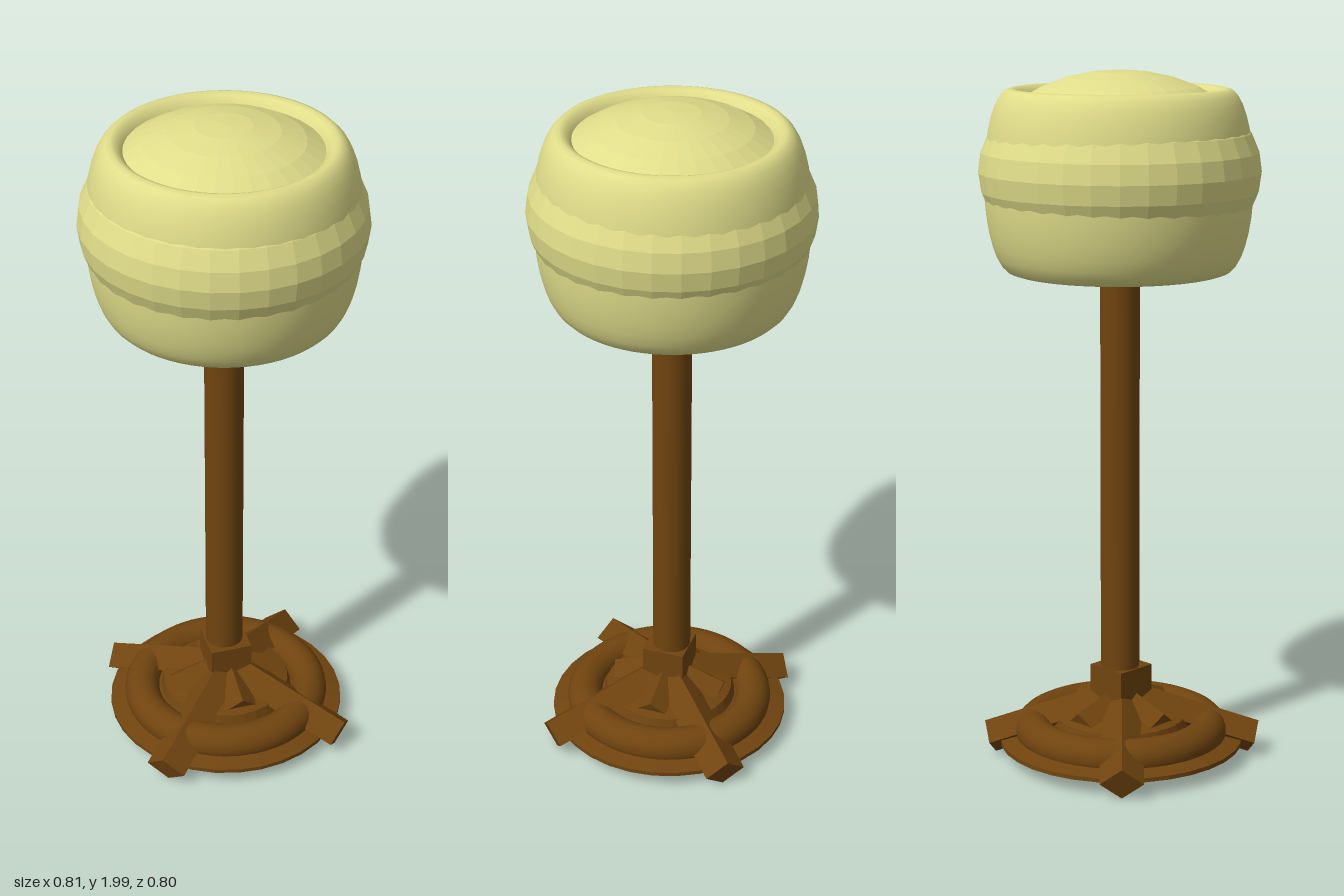
import * as THREE from 'three';

const AXIS_X = -0.011; // the pole and shade sit slightly off the feet's centre

export function createModel() {
  const cream = new THREE.MeshStandardMaterial({ color: 0xe0dd8a });
  cream.name = 'creamShade';
  const creamFaceted = cream.clone();
  creamFaceted.name = 'creamShadeFaceted';
  creamFaceted.flatShading = true;
  const wood = new THREE.MeshStandardMaterial({ color: 0x70440f });
  wood.name = 'brownWood';
  const woodFaceted = wood.clone();
  woodFaceted.name = 'brownWoodFaceted';
  woodFaceted.flatShading = true;

  const model = new THREE.Group();
  model.name = 'lamp';
  const add = (name, geometry, material, x = 0, y = 0, z = 0) => {
    const mesh = new THREE.Mesh(geometry, material);
    mesh.name = name;
    mesh.position.set(x, y, z);
    model.add(mesh);
    return mesh;
  };

  // Shade: a tall rounded ring around a faceted, flattened globe
  const ring = new THREE.TorusGeometry(0.3, 0.076, 32, 64).rotateX(Math.PI / 2);
  add('shadeRing', ring.scale(1, 0.255 / 0.076, 1), cream, AXIS_X, 1.695, -0.003);
  const globe = new THREE.SphereGeometry(1, 32, 16).scale(0.395, 0.28, 0.395);
  add('shadeGlobe', globe, creamFaceted, AXIS_X, 1.72, 0);

  // Pole and the square collar at its foot
  add('pole', new THREE.CylinderGeometry(0.056, 0.056, 1.4, 32), wood, AXIS_X, 0.8, 0);
  const collar = new THREE.BoxGeometry(0.126, 0.16, 0.126).rotateY(Math.PI / 4);
  add('collar', collar, woodFaceted, -0.005, 0.2, 0.003);

  // Base: a stepped conical disc with a rounded moulding
  const discProfile = [[0, 0.05], [0.355, 0.05], [0.355, 0.062], [0.2, 0.1], [0.19, 0.13], [0, 0.185]]
    .map(([r, y]) => new THREE.Vector2(r, y));
  add('baseDisc', new THREE.LatheGeometry(discProfile, 32), woodFaceted, -0.004, 0, 0.003);
  const moulding = new THREE.TorusGeometry(0.257, 0.053, 20, 64).rotateX(Math.PI / 2);
  add('baseMoulding', moulding, wood, -0.004, 0.088, 0.003);

  // Diamond-section bar sloping down along +x, ending at (reach, endY)
  const bar = (reach, endY, length) => new THREE.CylinderGeometry(1, 1, 1, 4)
    .scale(0.05, length, 0.062)
    .rotateZ(-Math.PI / 2)
    .translate(-length / 2, 0, 0)
    .rotateZ(-0.314)
    .translate(reach, endY, 0);

  // Four long feet on the axes and four short braces between them
  for (let i = 0; i < 4; i++) {
    const turn = i * Math.PI / 2;
    add('foot', bar(0.387, 0.057, 0.38), woodFaceted, 0, 0, 0.005).rotation.y = turn;
    add('brace', bar(0.16, 0.122, 0.15), woodFaceted, -0.004, 0, 0.003).rotation.y = turn + Math.PI / 4;
  }

  return model;
}
